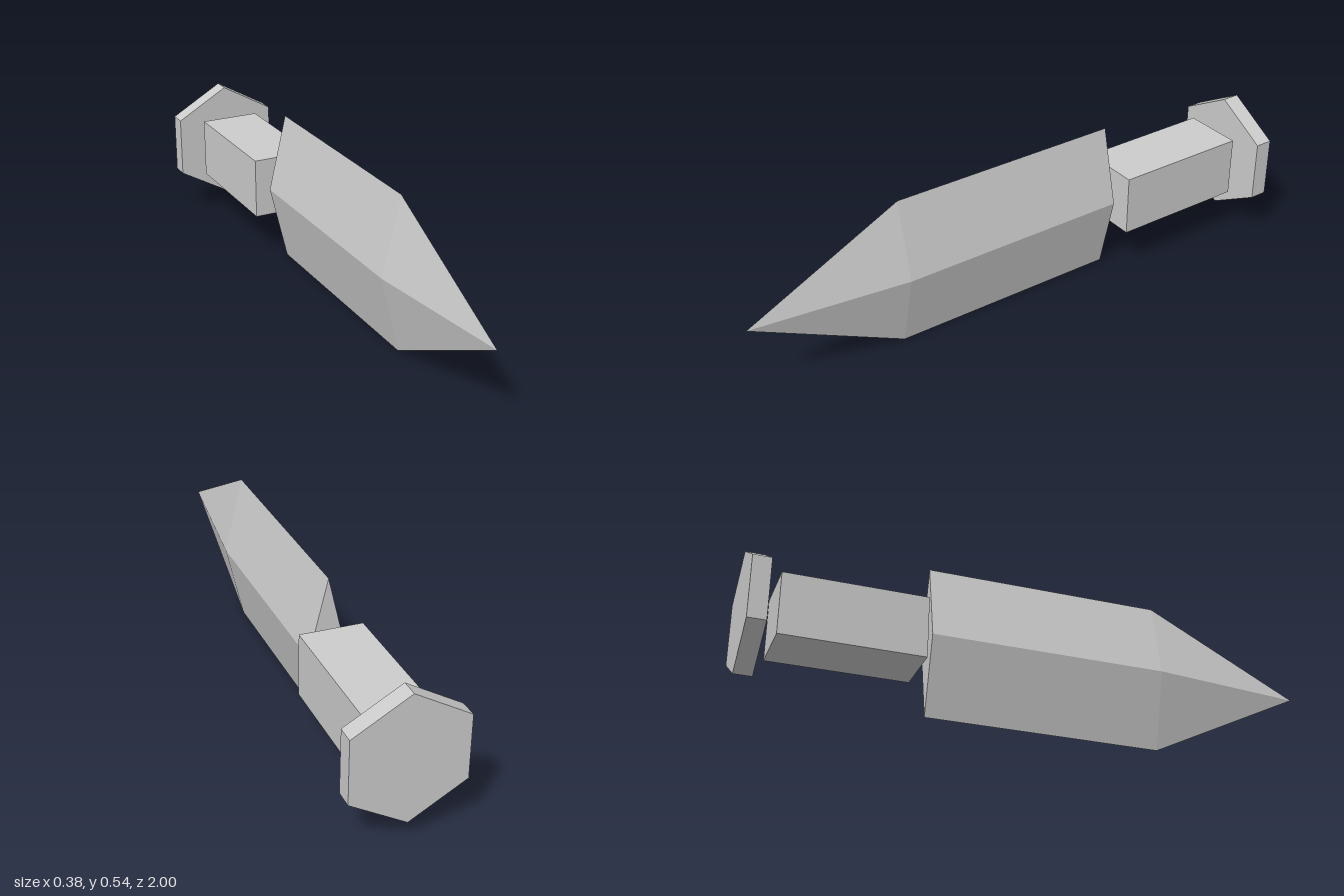
import * as THREE from 'three';

const MID_Y = 0.271;

export function createModel() {
  const group = new THREE.Group();
  group.name = 'dagger';
  const steel = new THREE.MeshStandardMaterial({ color: 0xcccccc, flatShading: true });
  steel.name = 'pale grey';

  const add = (name, geometry, z = 0) => {
    const mesh = new THREE.Mesh(geometry, steel);
    mesh.name = name;
    mesh.position.set(0, MID_Y, z);
    group.add(mesh);
  };

  // Blade: diamond section running forward to a point, closed at the back
  const profile = [[0, -0.38], [1, -0.38], [1, 0.45], [0, 1]].map(([r, l]) => new THREE.Vector2(r, l));
  const blade = new THREE.LatheGeometry(profile, 4);
  blade.rotateX(Math.PI / 2);
  blade.scale(0.065, 0.271, 1);
  add('blade', blade);

  // Square grip, separated from the blade and pommel by small gaps
  add('grip', new THREE.BoxGeometry(0.216, 0.216, 0.486), -0.65);

  // Hexagonal pommel plate with a corner pointing up
  const pommel = new THREE.CylinderGeometry(0.217, 0.217, 0.062, 6);
  pommel.rotateX(Math.PI / 2);
  add('pommel', pommel, -0.969);

  return group;
}
